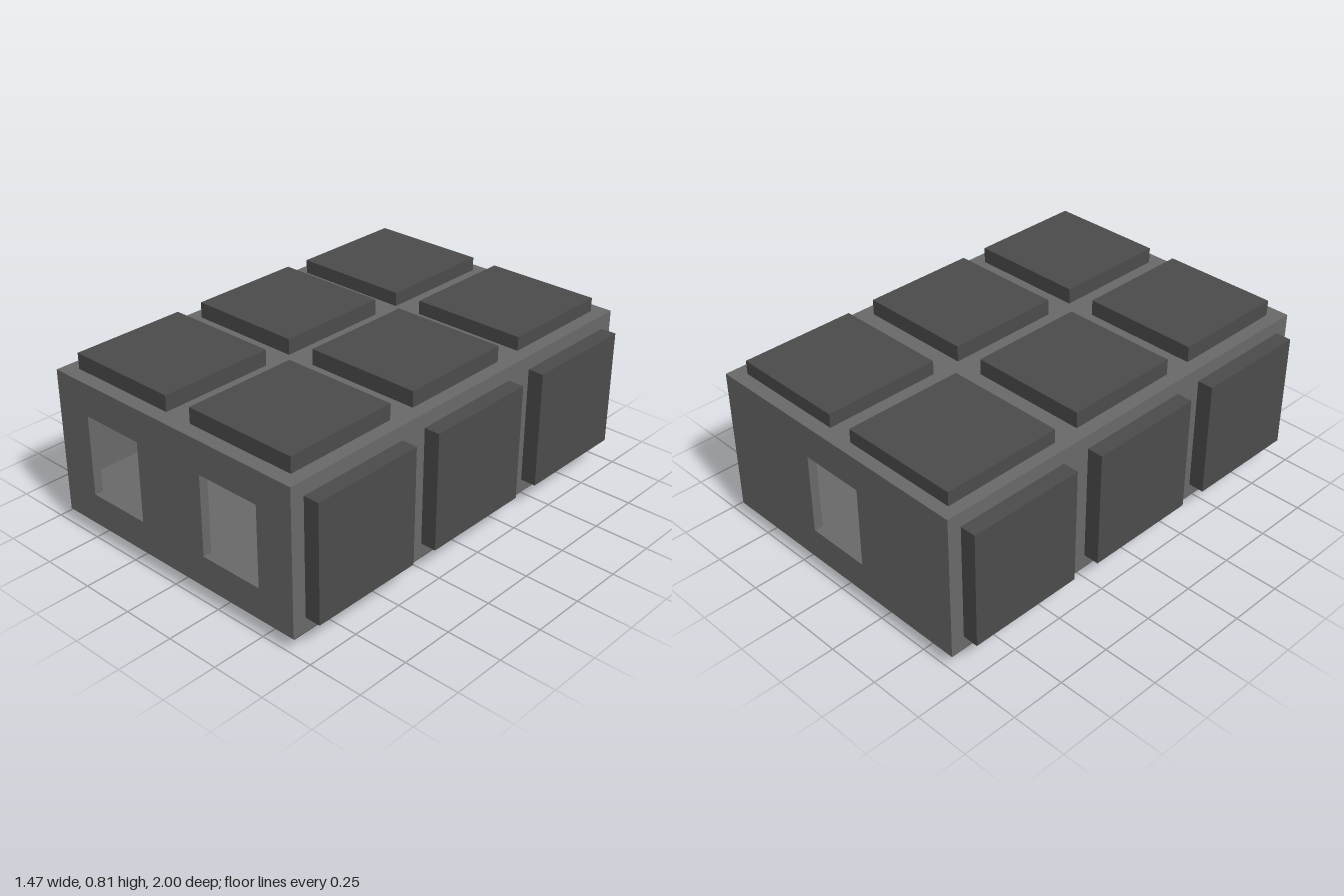
import * as THREE from 'three';

const bodyMat = new THREE.MeshStandardMaterial({ color: 0x6a6a6a, flatShading: true });
const tileMat = new THREE.MeshStandardMaterial({ color: 0x4c4c4c, flatShading: true });

const W = 0.665, Y0 = 0.075, Y1 = 0.74, WALL = 0.04;   // body half width, bottom, top, wall
const HOLE_Y0 = 0.22, HOLE_Y1 = 0.59;                  // openings and inner chamber

function rect(target, x0, x1, y0, y1) {
  target.moveTo(x0, y0);
  target.lineTo(x1, y0);
  target.lineTo(x1, y1);
  target.lineTo(x0, y1);
  target.closePath();
  return target;
}

// Slab of the body cross-section with rectangular openings, extruded along z
function slab(name, z0, z1, openings) {
  const shape = rect(new THREE.Shape(), -W, W, Y0, Y1);
  for (const [x0, x1] of openings) shape.holes.push(rect(new THREE.Path(), x0, x1, HOLE_Y0, HOLE_Y1));
  const geo = new THREE.ExtrudeGeometry(shape, { depth: z1 - z0, bevelEnabled: false });
  geo.translate(0, 0, z0);
  const mesh = new THREE.Mesh(geo, bodyMat);
  mesh.name = name;
  return mesh;
}

function tile(name, w, h, d, x, y, z) {
  const mesh = new THREE.Mesh(new THREE.BoxGeometry(w, h, d), tileMat);
  mesh.name = name;
  mesh.position.set(x, y, z);
  return mesh;
}

export function createModel() {
  const model = new THREE.Group();
  model.name = 'panelledBlock';

  // Hollow body: front wall with two openings, back wall with one
  const body = new THREE.Group();
  body.name = 'body';
  body.add(
    slab('frontWall', 1 - WALL, 1, [[-0.485, -0.18], [0.18, 0.485]]),
    slab('shell', -1 + WALL, 1 - WALL, [[-W + WALL, W - WALL]]),
    slab('backWall', -1, -1 + WALL, [[-0.15, 0.15]])
  );
  model.add(body);

  // Raised square tiles in three rows on the top, bottom and sides
  const tiles = new THREE.Group();
  tiles.name = 'tiles';
  const size = 0.535, mid = (Y0 + Y1) / 2;
  for (const z of [0.667, 0, -0.67]) {
    const back = z < -0.5;
    const h = back ? 0.063 : 0.072;       // the back row is a little thinner
    for (const side of [-1, 1]) {
      const s = back && side < 0 ? 0.548 : size;   // one slightly larger corner tile
      tiles.add(
        tile('topTile', s, h, s, side * 0.335, Y1 + h / 2, z),
        tile('bottomTile', s, h, s, side * 0.335, Y0 - h / 2, z),
        tile('sideTile', 0.072, size, size, side * (W + 0.036), mid, z)
      );
    }
  }
  model.add(tiles);
  return model;
}
